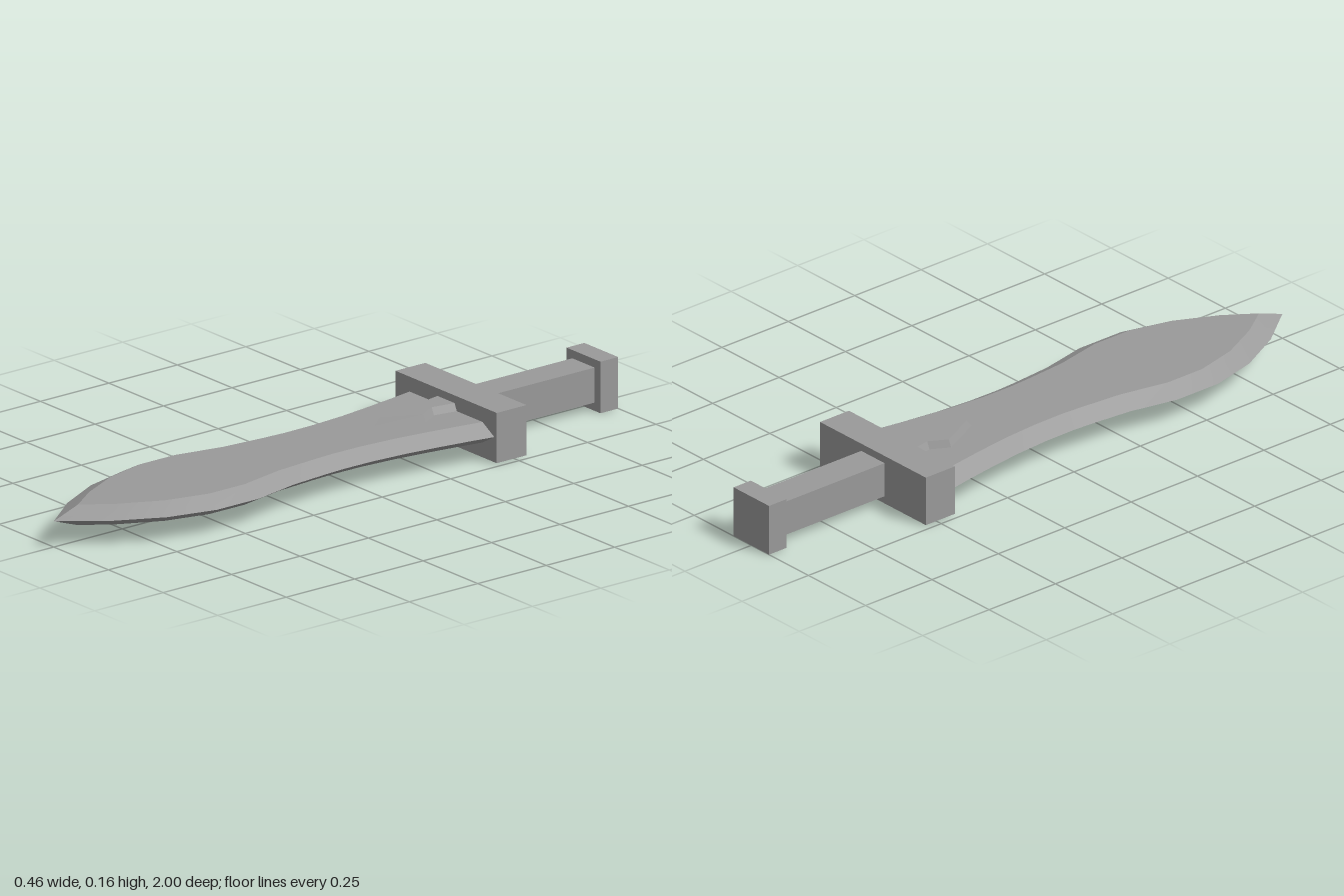
import * as THREE from 'three';
import { mergeGeometries } from 'three/addons/utils/BufferGeometryUtils.js';

const MID = 0.078; // height of the sword's middle plane
const STEEL = 0x9a9a9a;

// Ribbon between two equally long rows of points, facing (along the row) x (a to b)
function strip(a, b) {
  const index = [];
  for (let i = 0; i < a.length - 1; i++) {
    const j = i + a.length;
    index.push(i, i + 1, j + 1, i, j + 1, j);
  }
  const geometry = new THREE.BufferGeometry();
  geometry.setAttribute('position', new THREE.Float32BufferAttribute([...a, ...b].flat(), 3));
  geometry.setIndex(index);
  geometry.computeVertexNormals();
  return geometry;
}

// Two-sided plate with bevelled edges, from half outlines of [x, z] mirrored in x and y
function bevelledPlate(outer, inner, outerHeight, innerHeight) {
  const row = (pts, sx, y) => pts.map(([x, z]) => [sx * x, MID + y, z]);
  const parts = [];
  for (const sy of [1, -1]) {
    const face = (a, b, flip) => parts.push(flip ? strip(b, a) : strip(a, b));
    face(row(inner, -1, sy * innerHeight), row(inner, 1, sy * innerHeight), sy < 0);
    for (const sx of [1, -1]) {
      face(row(inner, sx, sy * innerHeight), row(outer, sx, sy * outerHeight), sx * sy < 0);
    }
  }
  return mergeGeometries(parts);
}

export function createModel() {
  const group = new THREE.Group();
  group.name = 'shortSword';
  const smooth = new THREE.MeshStandardMaterial({ color: STEEL });
  const flat = new THREE.MeshStandardMaterial({ color: STEEL, flatShading: true });

  const add = (name, geometry, material) => {
    const mesh = new THREE.Mesh(geometry, material);
    mesh.name = name;
    group.add(mesh);
    return mesh;
  };
  const block = (name, width, height, z0, z1) =>
    add(name, new THREE.BoxGeometry(width, height, z1 - z0), flat)
      .position.set(0, MID, (z0 + z1) / 2);

  // Leaf-shaped blade: sharp edge outline and the flat inside the bevels
  const edge = [[0.224, -0.45], [0.207, -0.36], [0.191, -0.26], [0.176, -0.15], [0.167, -0.03],
    [0.166, 0.07], [0.17, 0.14], [0.182, 0.27], [0.214, 0.42], [0.214, 0.575],
    [0.175, 0.725], [0.1, 0.87], [0, 1]];
  const flatFace = [[0.17, -0.45], [0.154, -0.36], [0.138, -0.26], [0.123, -0.15], [0.114, -0.03],
    [0.113, 0.07], [0.117, 0.14], [0.129, 0.28], [0.16, 0.43], [0.16, 0.56],
    [0.126, 0.695], [0.064, 0.82], [0, 0.912]];
  add('blade', bevelledPlate(edge, flatFace, 0, 0.031), smooth);

  // Raised arrow-shaped ornament on both faces of the blade
  const ornamentBase = [[0.052, -0.45], [0.036, -0.36], [0.067, -0.305], [0, -0.17]];
  const ornamentTop = [[0.042, -0.45], [0.026, -0.36], [0.057, -0.305], [0, -0.19]];
  add('bladeOrnament', bevelledPlate(ornamentBase, ornamentTop, 0.031, 0.053), flat);

  // Hilt
  block('guard', 0.463, 0.152, -0.542, -0.433);
  block('grip', 0.102, 0.106, -0.945, -0.53);
  block('pommel', 0.155, 0.156, -1, -0.935);

  return group;
}
